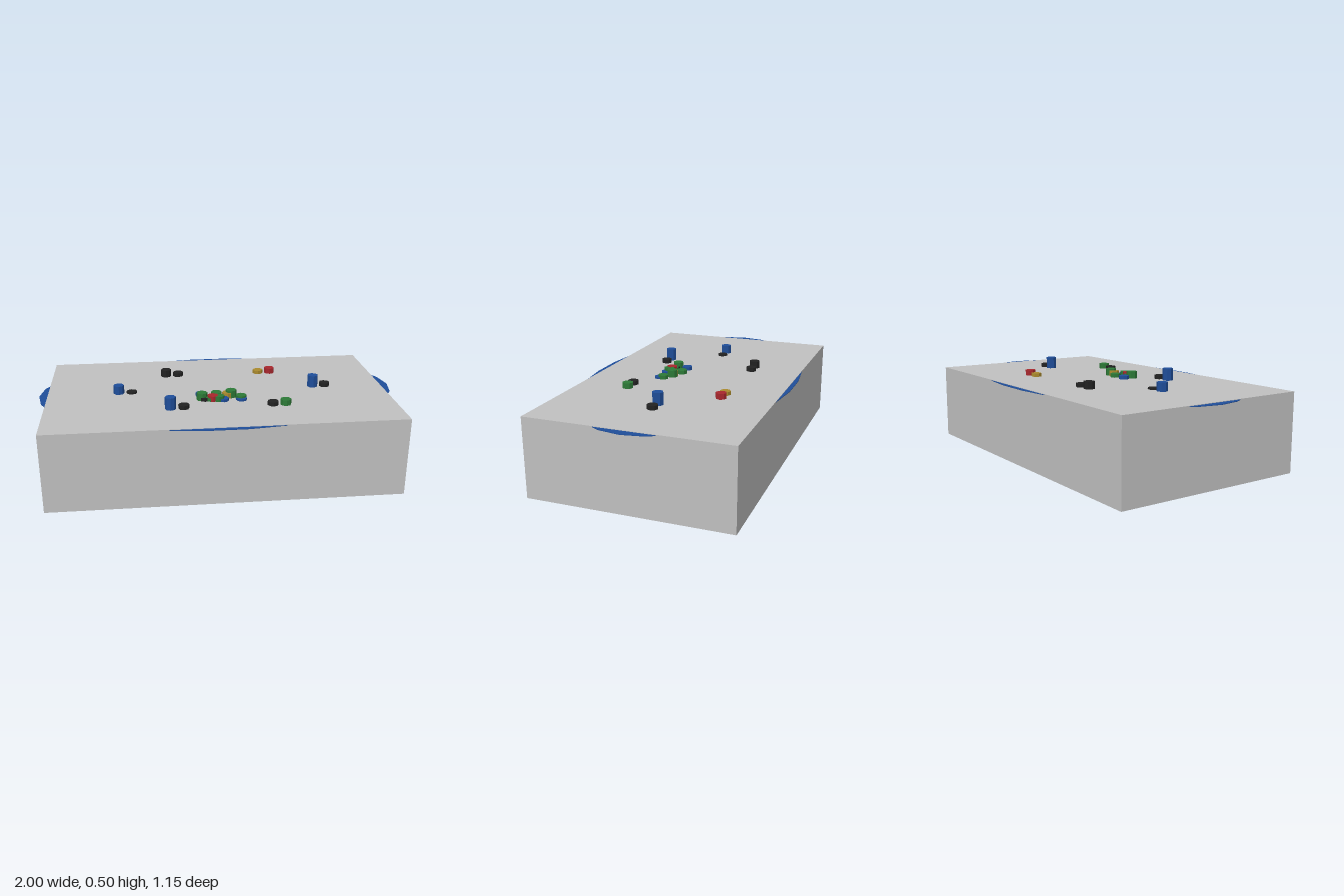
import * as THREE from 'three';

const material = (name, color) => {
  const m = new THREE.MeshStandardMaterial({ color });
  m.name = name;
  return m;
};

export function createModel() {
  const grey = material('grey', 0xc0c0c0);
  const blue = material('blue', 0x1f4e9a);
  const black = material('black', 0x222222);
  const red = material('red', 0xa8272d);
  const green = material('green', 0x2d7a37);
  const gold = material('gold', 0xaa8a2e);

  const model = new THREE.Group();
  model.name = 'cardTable';
  const top = 0.437;

  const add = (name, geometry, mat, x, y, z, parent = model) => {
    const mesh = new THREE.Mesh(geometry, mat);
    mesh.name = name;
    mesh.position.set(x, y, z);
    parent.add(mesh);
    return mesh;
  };

  // Block body, raised a hair so the foot shows beneath it
  add('tableBlock', new THREE.BoxGeometry(1.908, top - 0.002, 1.1), grey, 0, (top + 0.002) / 2, 0);

  // Thin oval top whose rim pokes out of all four walls
  const oval = new THREE.CylinderGeometry(1, 1, 0.003, 30);
  oval.rotateY(Math.PI / 2).scale(1, 1, 0.577);
  add('ovalTop', oval.toNonIndexed(), blue, 0, top - 0.004, 0);

  // Ten-sided foot
  const foot = new THREE.CylinderGeometry(0.495, 0.495, 0.004, 10);
  foot.rotateY(Math.PI / 2);
  add('foot', foot, black, 0, 0.002, 0);

  // Chip stacks: colour, x, z, top height
  const addStacks = (groupName, list) => {
    const group = new THREE.Group();
    group.name = groupName;
    model.add(group);
    for (const [mat, x, z, y] of list) {
      const h = y - top;
      const chip = new THREE.CylinderGeometry(0.03, 0.03, h, 8).toNonIndexed();
      chip.computeVertexNormals();
      add(mat.name + 'ChipStack', chip, mat, x, top + h / 2, z, group);
    }
  };

  // A pair of stacks at each of the six seats
  addStacks('seatChips', [
    [blue, -0.557, 0, 0.485], [black, -0.485, 0, 0.447],
    [blue, 0.555, 0, 0.505], [black, 0.625, 0, 0.459],
    [black, -0.28, -0.268, 0.478], [black, -0.208, -0.268, 0.459],
    [gold, 0.277, -0.268, 0.457], [red, 0.347, -0.268, 0.468],
    [blue, -0.28, 0.267, 0.505], [black, -0.208, 0.267, 0.459],
    [black, 0.277, 0.267, 0.459], [green, 0.347, 0.267, 0.468],
  ]);

  // Loose heap near the middle
  addStacks('potChips', [
    [blue, -0.1, 0.093, 0.457], [green, -0.015, 0.093, 0.459],
    [gold, 0.045, 0.125, 0.467], [green, 0.065, 0.12, 0.478],
    [green, 0.117, 0.155, 0.459], [blue, 0.117, 0.175, 0.448],
    [green, -0.1, 0.148, 0.478], [black, -0.085, 0.157, 0.456],
    [green, -0.055, 0.16, 0.457], [red, -0.042, 0.165, 0.467],
    [blue, 0.017, 0.175, 0.452], [green, -0.008, 0.171, 0.466],
  ]);

  return model;
}
